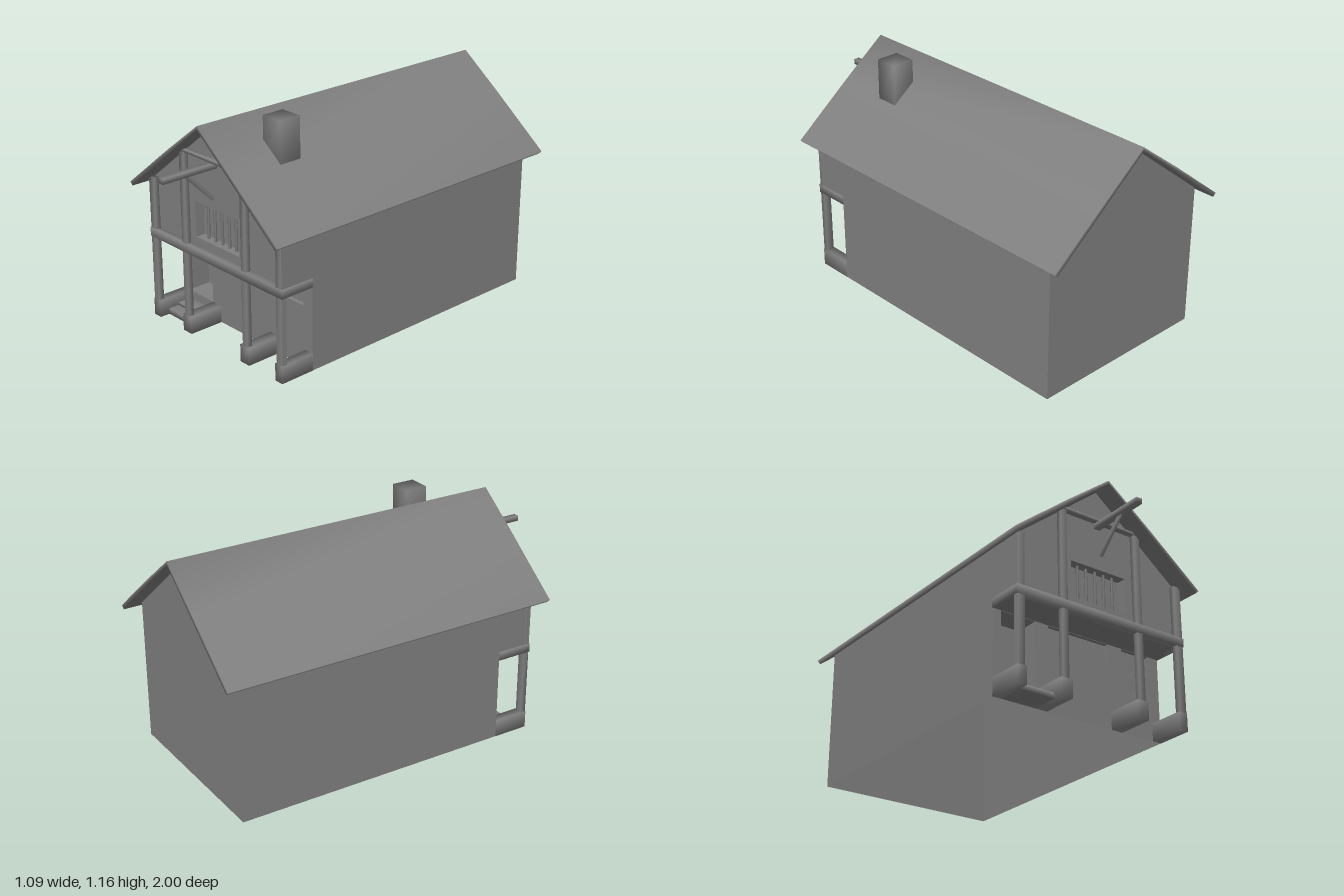
import * as THREE from 'three';
import { mergeVertices } from 'three/addons/utils/BufferGeometryUtils.js';

const COLOR = 0x808080;
const mat = new THREE.MeshStandardMaterial({ color: COLOR });
const thin = new THREE.MeshStandardMaterial({ color: COLOR, side: THREE.DoubleSide });

// Weld corners so that shading runs softly across the edges
function soften(geo) {
  geo.deleteAttribute('normal');
  geo.deleteAttribute('uv');
  const g = mergeVertices(geo, 1e-4);
  g.computeVertexNormals();
  return g;
}

export function createModel() {
  const root = new THREE.Group();

  const add = (name, geo, material = mat) => {
    const m = new THREE.Mesh(geo, material);
    m.name = name;
    root.add(m);
    return m;
  };
  // Box given by its limits on each axis
  const boxGeo = (x0, x1, y0, y1, z0, z1) =>
    new THREE.BoxGeometry(x1 - x0, y1 - y0, z1 - z0)
      .translate((x0 + x1) / 2, (y0 + y1) / 2, (z0 + z1) / 2);
  const block = (name, ...limits) => add(name, soften(boxGeo(...limits)));
  // Niche: a box without its front face
  const niche = (name, ...limits) => {
    const g = boxGeo(...limits);
    g.setIndex(Array.from(g.index.array).filter((v, i) => i < 24 || i > 29));
    g.clearGroups();
    return add(name, g, thin);
  };
  // Flat outline with rectangular holes [x0, x1, y0, y1]
  const panel = (points, holes = []) => {
    const s = new THREE.Shape(points.map(p => new THREE.Vector2(...p)));
    for (const [x0, x1, y0, y1] of holes) {
      s.holes.push(new THREE.Path([[x0, y0], [x0, y1], [x1, y1], [x1, y0]].map(p => new THREE.Vector2(...p))));
    }
    return new THREE.ShapeGeometry(s);
  };

  const W = 0.485, EAVE = 0.735, PEAK = 1.125;
  const FRONT = 0.72, UPPER = 0.693, LOWER = 0.535, BACK = -0.92;

  // Long side walls, open at the porch
  for (const s of [-1, 1]) {
    const g = panel([[BACK, 0], [FRONT, 0], [FRONT, EAVE], [BACK, EAVE]], [[LOWER, UPPER, 0.09, 0.43]]);
    // Mirror the right wall so both face outwards
    g.rotateY(s * -Math.PI / 2);
    if (s < 0) g.scale(1, 1, -1);
    add(s > 0 ? 'leftWall' : 'rightWall', g.translate(s * W, 0, 0), thin);
  }

  // Back gable wall, facing backwards
  add('backWall', panel([[-W, 0], [W, 0], [W, EAVE], [0, PEAK], [-W, EAVE]])
    .rotateY(Math.PI).translate(0, 0, BACK), thin);

  // Upper front wall with its barred window
  const hatch = [-0.16, 0.16, 0.52, 0.705];
  add('upperFrontWall', panel([[-W, 0.43], [W, 0.43], [W, EAVE], [0, PEAK], [-W, EAVE]], [hatch])
    .translate(0, 0, UPPER), thin);
  niche('upperWindow', ...hatch, UPPER - 0.05, UPPER);
  for (const x of [-0.1, -0.05, 0.003, 0.055, 0.105]) {
    block('windowBar', x - 0.005, x + 0.005, 0.52, 0.705, UPPER - 0.035, UPPER - 0.025);
  }

  // Recessed ground floor wall with door niche and two windows
  const door = [-0.44, -0.25, 0.09, 0.428];
  const windows = [[-0.175, 0.175, 0.31, 0.428], [0.26, 0.425, 0.315, 0.428]];
  add('lowerFrontWall', panel([[-W, 0], [W, 0], [W, 0.43], [-W, 0.43]], [door, ...windows])
    .translate(0, 0, LOWER), thin);
  niche('doorNiche', ...door, 0.41, LOWER);
  for (const w of windows) niche('lowerWindow', ...w, LOWER - 0.02, LOWER);

  // Porch ceiling and steps
  add('porchCeiling', new THREE.PlaneGeometry(2 * W, UPPER - LOWER)
    .rotateX(Math.PI / 2).translate(0, 0.43, (UPPER + LOWER) / 2), thin);
  block('lowerStep', -0.44, -0.25, 0, 0.03, LOWER, 0.67);
  block('upperStep', -0.44, -0.25, 0.03, 0.045, LOWER, 0.61);

  // Timber posts on low stone plinths, mirrored
  for (const s of [-1, 1]) {
    const span = (name, a, b, ...rest) => block(name, Math.min(s * a, s * b), Math.max(s * a, s * b), ...rest);
    span('outerPost', 0.445, W, 0.09, 0.745, UPPER, FRONT);
    span('innerPost', 0.203, 0.237, 0.09, 0.945, UPPER, FRONT);
    span('outerPlinth', 0.437, W + 0.001, 0, 0.09, LOWER, FRONT + 0.003);
    span('innerPlinth', 0.187, 0.25, 0, 0.09, LOWER, FRONT + 0.003);
    span('sideBeam', 0.45, 0.489, 0.43, 0.475, LOWER, FRONT);
  }
  block('floorBeam', -0.489, 0.489, 0.43, 0.475, UPPER - 0.01, FRONT + 0.003);
  block('collarBeam', -0.222, 0.222, 0.945, 0.96, UPPER, FRONT);

  // Hoist beam and its diagonal brace
  block('hoistBeam', -0.016, 0.016, 0.918, 0.945, UPPER, 1);
  const brace = add('hoistBrace', soften(new THREE.BoxGeometry(0.012, 0.225, 0.022)));
  brace.position.set(0.003, 0.85, 0.79);
  brace.rotation.x = Math.PI / 4;

  // Pitched roof slab, softly shaded over the ridge
  const profile = [[-0.543, 0.717], [-0.526, 0.701], [0, 1.12], [0.526, 0.701], [0.543, 0.717],
    [0.24, 0.957], [0, 1.14], [-0.24, 0.957]];
  const roofShape = new THREE.Shape(profile.map(p => new THREE.Vector2(...p)));
  add('roof', soften(new THREE.ExtrudeGeometry(roofShape, { depth: 1.79, bevelEnabled: false })
    .translate(0, 0, -1)));

  // Chimney
  block('chimney', 0.127, 0.247, 0.93, 1.16, 0.39, 0.51);

  return root;
}
